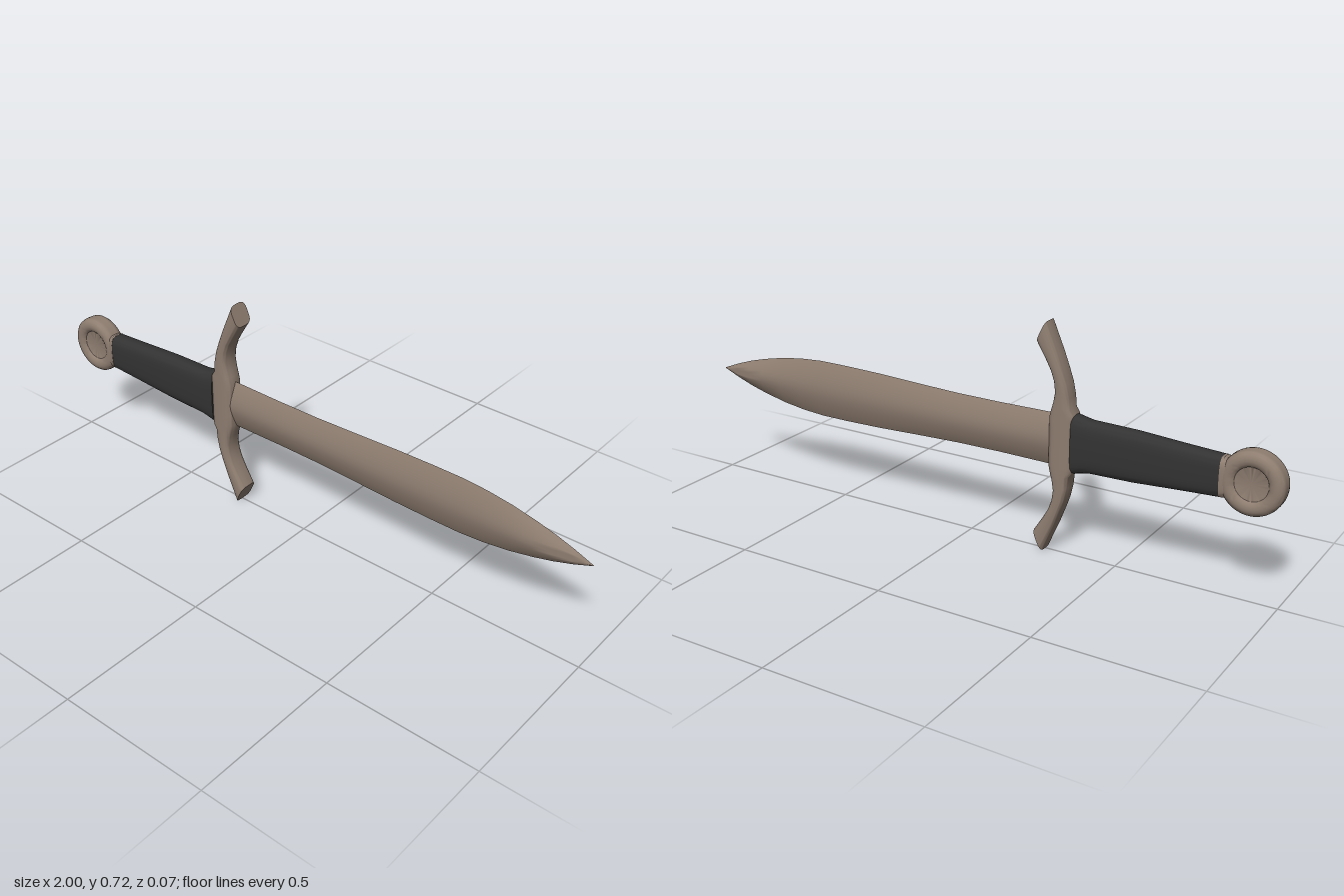
import * as THREE from 'three';
import { toCreasedNormals } from 'three/addons/utils/BufferGeometryUtils.js';

const MID = 0.36; // height of the long axis

// Unit cross-sections: a rounded rectangle and a sharp-edged lens
const sgnPow = (v, p) => Math.sign(v) * Math.pow(Math.abs(v), p);
function roundedSection(n, exponent) {
  return Array.from({ length: n }, (_, i) => {
    const a = (i / n) * Math.PI * 2;
    return [sgnPow(Math.cos(a), 2 / exponent), sgnPow(Math.sin(a), 2 / exponent)];
  });
}
function lensSection(n) {
  return Array.from({ length: n }, (_, i) => {
    const a = (i / n) * Math.PI * 2, u = Math.cos(a);
    return [u, Math.sign(Math.sin(a)) * (1 - Math.pow(Math.abs(u), 1.7))];
  });
}

// Skin through stations [ax, ay, bx, by, halfDepth]; each section spans a to b, with depth along z
function loft(stations, section, crease) {
  const n = section.length, pos = [], index = [];
  for (const [ax, ay, bx, by, d] of stations) {
    for (const [u, w] of section) {
      pos.push((ax + bx) / 2 + (u * (bx - ax)) / 2, (ay + by) / 2 + (u * (by - ay)) / 2, w * d);
    }
  }
  for (let i = 0; i < stations.length - 1; i++) {
    for (let j = 0; j < n; j++) {
      const a = i * n + j, b = i * n + ((j + 1) % n);
      index.push(a, b, a + n, b, b + n, a + n);
    }
  }
  // flat ends
  const last = (stations.length - 1) * n;
  for (let j = 1; j < n - 1; j++) {
    index.push(0, j + 1, j, last, last + j, last + j + 1);
  }
  const g = new THREE.BufferGeometry();
  g.setAttribute('position', new THREE.Float32BufferAttribute(pos, 3));
  g.setIndex(index);
  return toCreasedNormals(g, crease);
}

// Stations along x, symmetric about the long axis: [x, halfHeight, halfDepth]
const alongX = (list) => list.map(([x, h, d]) => [x, -h, x, h, d]);

export function createModel() {
  const metal = new THREE.MeshStandardMaterial({ color: 0x8e7d70 });
  metal.name = 'warm metal';
  const leather = new THREE.MeshStandardMaterial({ color: 0x333333 });
  leather.name = 'dark leather';

  const model = new THREE.Group();
  model.name = 'dagger';
  const add = (name, geometry, material, parent = model) => {
    const mesh = new THREE.Mesh(geometry, material);
    mesh.name = name;
    mesh.position.y = parent === model ? MID : 0;
    parent.add(mesh);
    return mesh;
  };
  const rounded = roundedSection(32, 3.6);

  // Leaf-shaped blade
  add('blade', loft(alongX([
    [-0.31, 0.082, 0.025], [-0.1, 0.08, 0.025], [0.05, 0.081, 0.025], [0.2, 0.086, 0.025],
    [0.35, 0.092, 0.025], [0.48, 0.0945, 0.025], [0.58, 0.0945, 0.025], [0.66, 0.089, 0.025],
    [0.74, 0.078, 0.025], [0.82, 0.061, 0.025], [0.88, 0.045, 0.022], [0.94, 0.025, 0.013],
    [0.98, 0.009, 0.005], [1, 0.001, 0.001],
  ]), lensSection(32), 0.9), metal);

  // Grip, swelling towards the guard
  add('grip', loft(alongX([
    [-0.822, 0.06, 0.032], [-0.7, 0.067, 0.032], [-0.55, 0.077, 0.032],
    [-0.41, 0.08, 0.032], [-0.385, 0.085, 0.032], [-0.355, 0.092, 0.032],
  ]), rounded, 0.7), leather);

  // Cross guard: upper half, mirrored for the lower half
  const upper = [
    [-0.278, 0.04, -0.362, 0.04, 0.033],
    [-0.278, 0.075, -0.362, 0.075, 0.033],
    [-0.284, 0.1, -0.36, 0.09, 0.033],
    [-0.291, 0.122, -0.349, 0.104, 0.033],
    [-0.297, 0.155, -0.345, 0.14, 0.033],
    [-0.293, 0.188, -0.336, 0.18, 0.033],
    [-0.282, 0.219, -0.322, 0.22, 0.033],
    [-0.264, 0.25, -0.304, 0.268, 0.033],
    [-0.235, 0.295, -0.265, 0.36, 0.033],
  ];
  const lower = upper.map(([ax, ay, bx, by, d]) => [ax, -ay, bx, -by, d]).reverse();
  add('crossGuard', loft([...lower, ...upper], rounded, 0.7), metal);

  // Pommel: dished disc on a short flared neck
  const pommel = new THREE.Group();
  pommel.name = 'pommel';
  pommel.position.y = MID;
  model.add(pommel);
  const half = [
    [0, 0.022], [0.05, 0.022], [0.052, 0.026], [0.06, 0.031], [0.069, 0.033],
    [0.078, 0.032], [0.087, 0.028], [0.093, 0.021], [0.095, 0.01],
  ];
  const profile = [
    ...half.map(([r, z]) => new THREE.Vector2(r, -z)),
    ...half.map(([r, z]) => new THREE.Vector2(r, z)).reverse(),
  ];
  const disc = new THREE.LatheGeometry(profile, 48);
  disc.rotateX(Math.PI / 2);
  const discMesh = add('pommelDisc', toCreasedNormals(disc, 0.8), metal, pommel);
  discMesh.position.x = -0.905;
  add('pommelNeck', loft(alongX([
    [-0.85, 0.06, 0.027], [-0.838, 0.057, 0.031], [-0.815, 0.061, 0.033],
  ]), rounded, 0.7), metal, pommel);

  return model;
}
